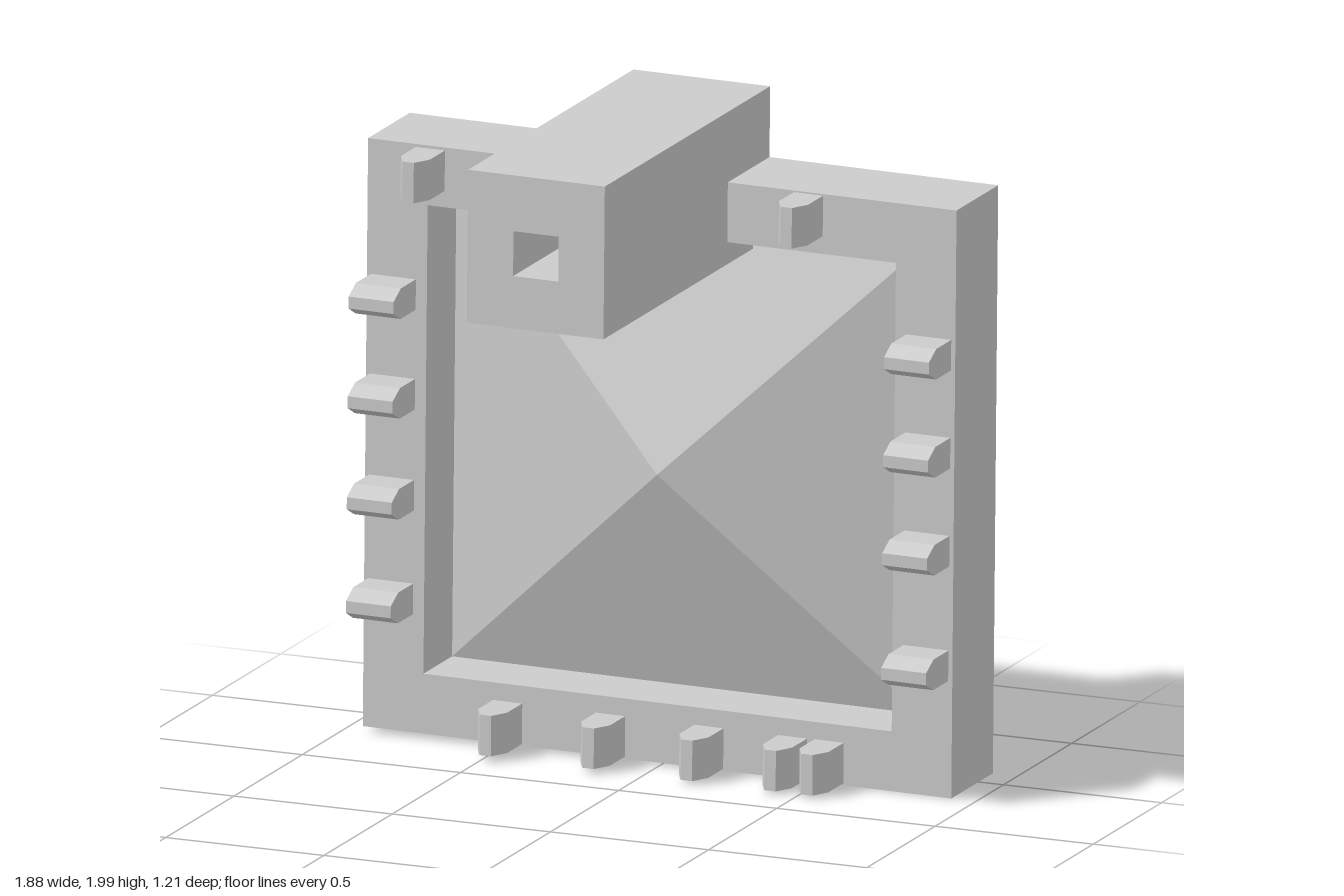
import * as THREE from 'three';

const BACK = -0.605, FLOOR = -0.51, FACE = -0.3, STEM_END = 0.605;

export function createModel() {
  const grey = new THREE.MeshStandardMaterial({ color: 0xcccccc });
  grey.name = 'plain grey';

  const model = new THREE.Group();
  model.name = 'model';
  // The whole piece leans very slightly clockwise about the plate centre
  const tilt = new THREE.Group();
  tilt.name = 'tiltedBody';
  tilt.position.y = 0.9;
  tilt.rotation.z = -0.0095;
  model.add(tilt);

  const add = (name, geometry) => {
    const mesh = new THREE.Mesh(geometry, grey);
    mesh.name = name;
    tilt.add(mesh);
    return mesh;
  };
  const polygon = (points) => new THREE.Shape(points.map(([x, y]) => new THREE.Vector2(x, y)));
  const extrude = (shape, z0, z1) =>
    new THREE.ExtrudeGeometry(shape, { depth: z1 - z0, bevelEnabled: false }).translate(0, 0, z0);

  // Plate, recess and stem sizes, measured from the plate centre
  const W = 0.93, H = 0.885, IW = 0.74, IH = 0.705;
  const sl = -0.225, sr = 0.207, sb = 0.638, st = 1.098;

  // Back panel, notched for the stem
  add('backPanel', extrude(polygon([
    [-W, H], [-W, -H], [W, -H], [W, H], [sr, H], [sr, sb], [sl, sb], [sl, H],
  ]), BACK, FLOOR));

  // Raised border around the recess, open where the stem passes
  add('border', extrude(polygon([
    [sl, H], [-W, H], [-W, -H], [W, -H], [W, H], [sr, H],
    [sr, IH], [IW, IH], [IW, -IH], [-IW, -IH], [-IW, IH], [sl, IH],
  ]), FLOOR, FACE));

  // Four-sided pyramid filling the recess
  const corners = [[-IW, -IH], [IW, -IH], [IW, IH], [-IW, IH]];
  const faces = [];
  corners.forEach((a, i) => {
    const b = corners[(i + 1) % 4];
    faces.push(...a, FLOOR, ...b, FLOOR, 0, -0.015, -0.28);
  });
  const pyramid = new THREE.BufferGeometry();
  pyramid.setAttribute('position', new THREE.Float32BufferAttribute(faces, 3));
  pyramid.computeVertexNormals();
  add('pyramid', pyramid);

  // Long stem with a square hole right through it
  const stem = polygon([[sl, sb], [sr, sb], [sr, st], [sl, st]]);
  stem.holes.push(new THREE.Path([
    [-0.08, 0.795], [-0.08, 0.93], [0.063, 0.93], [0.063, 0.795],
  ].map(([x, y]) => new THREE.Vector2(x, y))));
  add('stem', extrude(stem, BACK, STEM_END));

  // Stubby teeth with chamfered tips, standing on the border
  const toothShape = polygon([
    [-0.046, FACE - 0.01], [0.046, FACE - 0.01], [0.046, -0.19],
    [0.018, -0.137], [-0.018, -0.137], [-0.046, -0.19],
  ]);
  const tooth = (length) =>
    extrude(toothShape, -length / 2, length / 2).rotateX(Math.PI / 2).scale(1, 1, 1);
  // rotateX maps the profile height to +z and the extrusion to y
  const upright = tooth(0.122);
  const sideways = tooth(0.142).rotateZ(Math.PI / 2);

  const row = (name, geometry, places) => places.forEach(([x, y], i) => {
    add(name + (i + 1), geometry).position.set(x, y - 0.9, 0);
  });
  row('topTooth', upright, [[-0.733, 1.715], [-0.488, 1.717], [0.462, 1.719]]);
  row('bottomTooth', upright,
    [[-0.473, 0.081], [-0.148, 0.081], [0.163, 0.081], [0.427, 0.081], [0.543, 0.082]]);
  row('rightTooth', sideways,
    [[-0.846, 1.332], [-0.846, 1.032], [-0.846, 0.728], [-0.846, 0.416]]);
  row('leftTooth', sideways,
    [[0.846, 1.348], [0.846, 1.053], [0.846, 0.758], [0.846, 0.413]]);

  return model;
}
